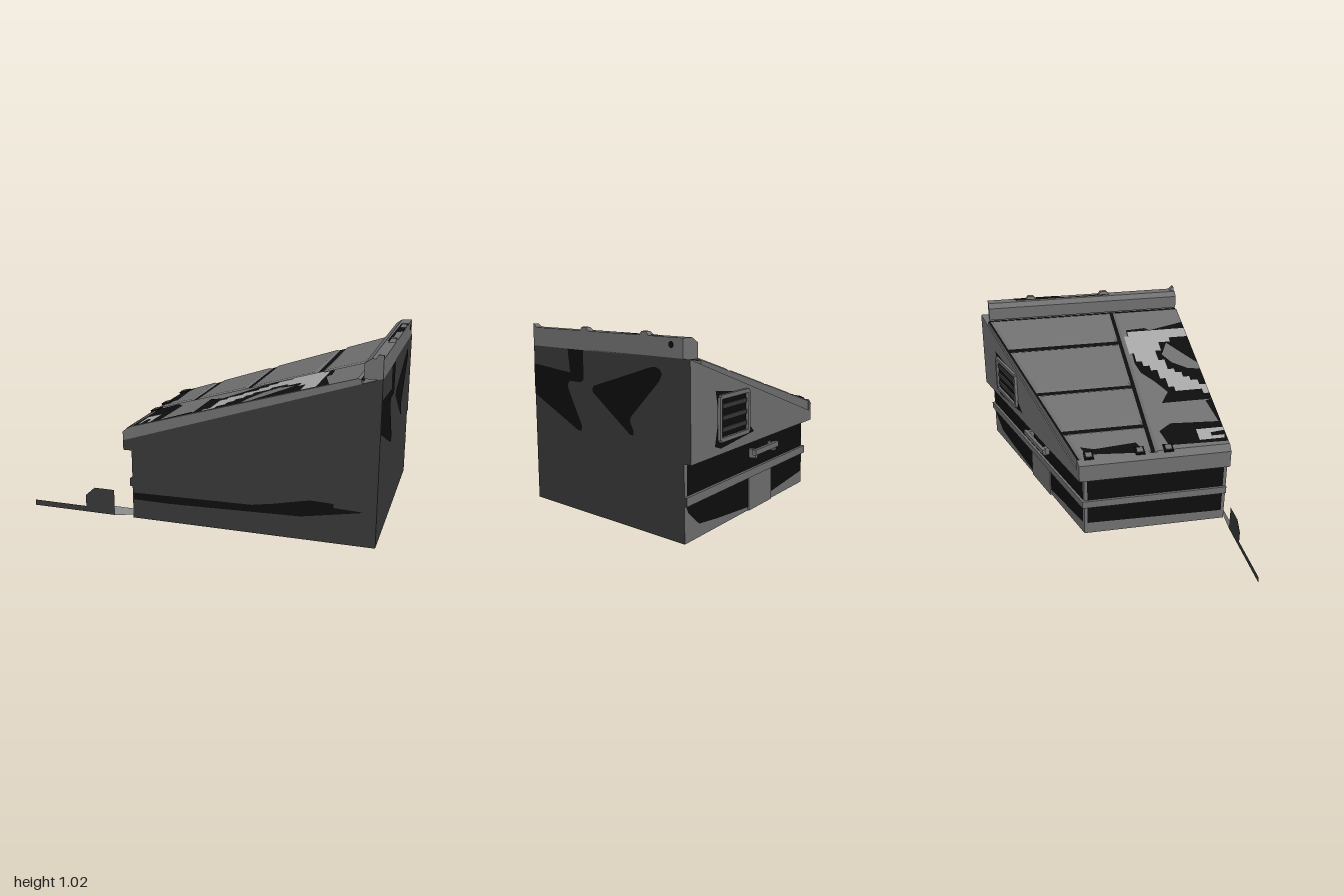
import * as THREE from 'three';

export function createModel() {
  const model = new THREE.Group();
  const mat = (name, color) => {
    const m = new THREE.MeshStandardMaterial({ color, side: THREE.DoubleSide });
    m.name = name;
    return m;
  };
  const gray = mat('metal gray', 0x6f6f6f);
  const dark = mat('cut face dark gray', 0x373737);
  const black = mat('black paint', 0x0d0d0d);
  const light = mat('light gray paint', 0xa5a5a5);

  // Shared slopes: slanted back wall, wall top and lid surface
  const backZ = x => -0.233 - 0.3077 * (x + 0.42);
  const lowBackZ = x => backZ(x) + 0.05;
  const wallTop = x => 0.455 + 0.318 * (x + 0.42);
  const lidTop = x => 0.53 + 0.29 * (x + 0.4);
  const backAngle = Math.atan(0.3077);

  const add = (name, geo, material) => {
    const mesh = new THREE.Mesh(geo, material);
    mesh.name = name;
    model.add(mesh);
    return mesh;
  };

  // Upright prism over an [x, z] outline; heights follow x, the top may be inset
  function prism(name, pts, bottom, top, sides, cap = gray, topPts = pts) {
    const pos = [], mats = [], geo = new THREE.BufferGeometry();
    const b = pts.map(([x, z]) => [x, bottom(x), z]);
    const t = topPts.map(([x, z]) => [x, top(x), z]);
    const face = (material, ...corners) => {
      geo.addGroup(pos.length / 3, (corners.length - 2) * 3, mats.length);
      mats.push(material);
      for (let i = 1; i < corners.length - 1; i++) pos.push(...corners[0], ...corners[i], ...corners[i + 1]);
    };
    pts.forEach((_, i) => {
      const j = (i + 1) % pts.length;
      face(sides[i] || gray, b[i], b[j], t[j], t[i]);
    });
    face(cap, ...t);
    face(gray, ...b.reverse());
    geo.setAttribute('position', new THREE.Float32BufferAttribute(pos, 3));
    geo.computeVertexNormals();
    return add(name, geo, mats);
  }

  // Flat painted patch placed on a surface by a mapping rule
  function patch(name, material, pts, map) {
    const geo = new THREE.ShapeGeometry(new THREE.Shape(pts.map(p => new THREE.Vector2(...p))));
    const p = geo.attributes.position;
    for (let i = 0; i < p.count; i++) p.setXYZ(i, ...map(p.getX(i), p.getY(i)));
    geo.computeVertexNormals();
    return add(name, geo, material);
  }
  const onRight = (z, y) => [1.002, y, z];
  const onFront = (x, y) => [x, y, 0.672];
  const onBack = (x, y) => [x, y, backZ(x) - 0.003];
  const onLowBack = (x, y) => [x, y, lowBackZ(x) - 0.003];
  const onLeft = (z, y) => [-0.373, y, z];
  const onLid = lift => (x, z) => [x, lidTop(x) + lift, z];

  // Box aligned with the slanted back wall
  function backBox(name, material, x, y, w, h, d, out, inset) {
    const m = add(name, new THREE.BoxGeometry(w, h, d), material);
    m.position.set(x - Math.sin(backAngle) * out, y, backZ(x) + inset - Math.cos(backAngle) * out);
    m.rotation.y = backAngle;
  }

  // Body: inset lower walls, rib, and overhanging upper walls
  const outline = (x0, z) => [[x0, 0.67], [1, 0.67], [1, z(1)], [x0, z(x0)]];
  prism('lowerBody', outline(-0.37, lowBackZ), () => 0, () => 0.4, [dark, dark]);
  prism('rib', outline(-0.385, x => lowBackZ(x) - 0.017), () => 0.19, () => 0.235, [dark, dark]);
  prism('upperBody', outline(-0.42, backZ), () => 0.4, wallTop, [dark, dark]);

  // Lid: sloped slab, bevelled nose and raised panels
  const inset = x => backZ(x) + 0.008;
  const lidBase = x => lidTop(x) - 0.01;
  prism('lid', [[-0.39, 0.67], [0.895, 0.67], [0.895, inset(0.895)], [-0.39, inset(-0.39)]],
    wallTop, lidBase, [], black);
  prism('lidNose', [[-0.42, 0.67], [-0.39, 0.67], [-0.39, backZ(-0.39)], [-0.42, backZ(-0.42)]],
    wallTop, x => (x < -0.4 ? 0.505 : lidTop(-0.39)), []);
  const bevel = 0.016;
  [[-0.39, -0.182], [-0.155, 0.155], [0.18, 0.567], [0.598, 0.89]].forEach(([a, b]) => {
    const c = a + bevel, d = b - bevel, zb = x => inset(x) + 0.012;
    prism('lidPanel', [[a, 0.198], [b, 0.198], [b, zb(b)], [a, zb(a)]], lidBase, lidTop, [], gray,
      [[c, 0.198 - bevel], [d, 0.198 - bevel], [d, zb(d) + bevel], [c, zb(c) + bevel]]);
  });
  prism('frontLidPanel', [[-0.39, 0.67], [0.89, 0.67], [0.89, 0.222], [-0.39, 0.222]], lidBase, lidTop, [], gray,
    [[-0.38, 0.67], [0.875, 0.67], [0.875, 0.238], [-0.38, 0.238]]);

  // Lid paint: black field, stepped light arch, gray centre
  patch('lidBlackField', black, [[-0.01, 0.668], [-0.01, 0.35], [0.08, 0.41], [0.18, 0.35], [0.27, 0.28],
    [0.36, 0.26], [0.62, 0.27], [0.685, 0.27], [0.695, 0.4], [0.67, 0.43], [0.73, 0.668]], onLid(0.002));
  patch('lidLightArch', light, [[0.04, 0.668], [0.04, 0.63], [0.08, 0.63], [0.08, 0.46], [0.12, 0.46], [0.12, 0.425],
    [0.2, 0.425], [0.2, 0.39], [0.28, 0.39], [0.28, 0.35], [0.325, 0.35], [0.325, 0.31], [0.37, 0.31], [0.37, 0.275],
    [0.45, 0.275], [0.45, 0.245], [0.62, 0.245], [0.62, 0.275], [0.665, 0.275], [0.665, 0.668], [0.58, 0.668],
    [0.58, 0.54], [0.54, 0.54], [0.54, 0.46], [0.46, 0.46], [0.46, 0.42], [0.37, 0.42], [0.37, 0.46], [0.28, 0.46],
    [0.28, 0.5], [0.245, 0.5], [0.245, 0.54], [0.2, 0.54], [0.2, 0.58], [0.165, 0.58], [0.165, 0.625],
    [0.12, 0.625], [0.12, 0.668]], onLid(0.004));
  patch('lidGrayCentre', gray, [[0.26, 0.668], [0.275, 0.59], [0.34, 0.5], [0.42, 0.455], [0.53, 0.51],
    [0.42, 0.59], [0.315, 0.668]], onLid(0.004));
  patch('lidLeftBlack', black, [[-0.36, 0.668], [-0.35, 0.31], [-0.235, 0.28], [-0.182, 0.36], [-0.2, 0.655],
    [-0.02, 0.625], [-0.01, 0.668]], onLid(0.002));
  patch('lidLeftLight', light, [[-0.335, 0.65], [-0.335, 0.5], [-0.25, 0.5], [-0.25, 0.668], [-0.275, 0.668],
    [-0.285, 0.58], [-0.31, 0.58], [-0.31, 0.66]], onLid(0.004));
  patch('lidHingeBlack', black, [[-0.385, 0.13], [-0.36, -0.18], [-0.3, -0.21], [-0.325, -0.13],
    [-0.305, 0.12], [-0.385, 0.165]], onLid(0.002));

  // Lid latches
  [-0.17, 0.13, 0.3].forEach(z => [[0.055, 0.012, black], [0.035, 0.02, gray]].forEach(([s, h, m]) => {
    const latch = add('latch', new THREE.BoxGeometry(s, h, s), m);
    latch.position.set(-0.37, lidTop(-0.37) + 0.002, z);
    latch.rotation.z = Math.atan(0.29);
  }));

  // Top rail with bumps and a bolt
  const profile = new THREE.Shape([[0.905, 0.9], [1, 0.9], [1, 1.005], [0.94, 1.005], [0.905, 0.98]]
    .map(p => new THREE.Vector2(...p)));
  const rail = add('topRail', new THREE.ExtrudeGeometry(profile, { depth: 1.29, bevelEnabled: false }), gray);
  rail.position.z = -0.62;
  patch('railGap', black, [[0.893, 0.67], [0.909, 0.67], [0.909, -0.62], [0.893, -0.62]],
    (x, z) => [x, 0.893, z]);
  patch('railBlack', black, [[0.95, 0.18], [0.955, -0.43], [0.998, -0.45], [0.998, -0.15], [0.965, -0.12],
    [0.97, 0.1], [0.998, 0.21]], (x, z) => [x, 1.007, z]);
  [[-0.365, -0.295], [0.135, 0.21], [0.64, 0.67]].forEach(([a, b]) => {
    const front = b > 0.66 ? b : b - 0.018;
    prism('railBump', [[0.96, b], [1, b], [1, a], [0.96, a]], () => 1.004, () => 1.025, [], gray,
      [[0.972, front], [1, front], [1, a + 0.018], [0.972, a + 0.018]]);
  });
  const bolt = add('railBolt', new THREE.CylinderGeometry(0.017, 0.017, 0.006, 8), black);
  bolt.rotation.z = Math.PI / 2;
  bolt.position.set(1, 0.97, -0.535);

  // Paint on the flat right and front faces
  patch('rightFrontPaint', black, [[0.67, 0.795], [0.31, 0.77], [0.328, 0.9], [0.184, 0.9], [0.184, 0.74],
    [0.209, 0.724], [0.314, 0.724], [0.338, 0.7], [0.328, 0.674], [0.212, 0.486], [0.216, 0.457],
    [0.245, 0.454], [0.67, 0.62]], onRight);
  patch('rightRearPaint', black, [[0.107, 0.695], [0.097, 0.714], [-0.382, 0.85], [-0.42, 0.855], [-0.454, 0.843],
    [-0.468, 0.82], [-0.443, 0.782], [-0.22, 0.584], [-0.212, 0.56], [-0.241, 0.508], [-0.237, 0.49],
    [-0.209, 0.49], [0.102, 0.68]], onRight);
  patch('frontPaint', black, [[-0.364, 0.152], [0.33, 0.163], [0.45, 0.184], [0.57, 0.21], [0.65, 0.227],
    [0.775, 0.222], [0.775, 0.2], [0.936, 0.192], [0.6, 0.13], [-0.15, 0.11], [-0.364, 0.112]], onFront);

  // Paint on the recessed back and left walls
  patch('backUpperBlack', black, [[-0.36, 0.237], [0.98, 0.237], [0.98, 0.39], [-0.36, 0.39]], onLowBack);
  patch('backLowerBlack', black, [[0.99, 0.19], [0.97, 0.15], [0.87, 0.07], [0.7, 0.05], [0.35, 0.02],
    [0.08, 0.04], [-0.36, 0.075], [-0.36, 0.19]], onLowBack);
  patch('leftUpperBlack', black, [[-0.18, 0.237], [0.65, 0.237], [0.65, 0.39], [-0.18, 0.39]], onLeft);
  patch('leftLowerBlack', black, [[-0.18, 0.075], [0.65, 0.06], [0.65, 0.19], [-0.18, 0.19]], onLeft);
  backBox('backPlate', gray, 0.215, 0.095, 0.285, 0.188, 0.012, 0.004, 0.05);

  // Back handle on two brackets
  backBox('handle', gray, 0.215, 0.335, 0.3, 0.03, 0.02, 0.045, 0.05);
  [0.1, 0.33].forEach(x => backBox('handleBracket', gray, x, 0.325, 0.025, 0.05, 0.05, 0.02, 0.05));

  // Vent with frame and slats
  patch('ventBlack', black, [[0.77, 0.73], [0.45, 0.69], [0.43, 0.52], [0.36, 0.46], [0.72, 0.43], [0.78, 0.45],
    [0.74, 0.6]], onBack);
  [0.475, 0.695].forEach(y => backBox('ventFrame', gray, 0.59, y, 0.31, 0.022, 0.02, 0.008, 0));
  [0.44, 0.74].forEach(x => backBox('ventFrame', gray, x, 0.585, 0.022, 0.22, 0.02, 0.008, 0));
  [0.525, 0.585, 0.645].forEach(y => backBox('ventSlat', dark, 0.59, y, 0.27, 0.024, 0.014, 0.006, 0));

  // Thin ground strip beside the body
  patch('groundStrip', dark, [[-1, 0], [-0.487, 0], [-0.487, 0.152], [-0.61, 0.152], [-0.668, 0.1],
    [-0.668, 0.033], [-1, 0.033]], (x, y) => [x, y, 0.67]);
  patch('groundStripEnd', light, [[-0.487, 0], [-0.43, 0.008], [-0.37, 0.018], [-0.37, 0.055], [-0.487, 0.055]],
    (x, y) => [x, y, 0.67]);

  return model;
}
